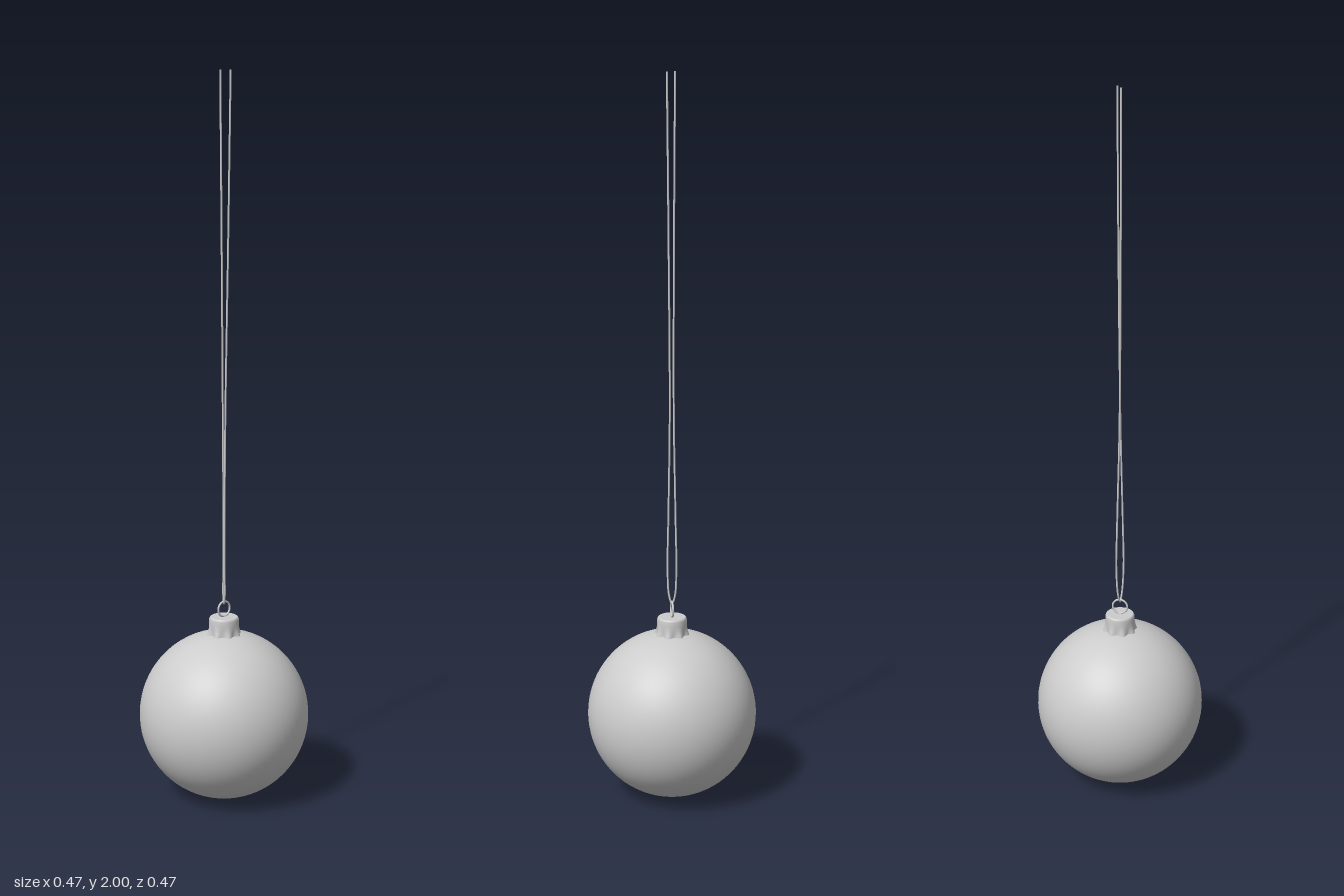
import * as THREE from 'three';

const V = (x, y, z) => new THREE.Vector3(x, y, z);

export function createModel() {
  const group = new THREE.Group();
  const material = new THREE.MeshStandardMaterial({ color: 0xcccccc });
  const thin = new THREE.MeshStandardMaterial({ color: 0xcccccc, side: THREE.DoubleSide });

  const add = (name, geometry, mat = material) => {
    const mesh = new THREE.Mesh(geometry, mat);
    mesh.name = name;
    group.add(mesh);
    return mesh;
  };

  // Glass ball
  const R = 0.236;
  add('ball', new THREE.SphereGeometry(R, 64, 48)).position.y = R;

  // Cap wall: flares into a skirt of eight scallops at the bottom
  const wall = new THREE.LatheGeometry([
    [0.046, 0.463], [0.0445, 0.47], [0.043, 0.478], [0.042, 0.488],
    [0.0415, 0.5], [0.041, 0.511], [0.0395, 0.515], [0.037, 0.517],
  ].map(([r, y]) => new THREE.Vector2(r, y)), 96);
  const p = wall.attributes.position;
  for (let i = 0; i < p.count; i++) {
    const x = p.getX(i), y = p.getY(i), z = p.getZ(i);
    const flare = Math.max(0, Math.min(1, (0.492 - y) / 0.025));
    const s = 1 - 0.09 * flare * Math.cos(8 * Math.atan2(z, x));
    p.setXYZ(i, x * s, y, z * s);
  }
  wall.computeVertexNormals();
  add('capWall', wall, thin);

  // Flat cap top
  const top = add('capTop', new THREE.CircleGeometry(0.037, 96));
  top.rotation.x = -Math.PI / 2;
  top.position.y = 0.517;

  // Hanging ring, standing in the side plane
  const ring = add('hangingRing', new THREE.TorusGeometry(0.021, 0.0028, 10, 40));
  ring.rotation.y = Math.PI / 2;
  ring.position.y = 0.539;

  // Cord: one loop threaded through the ring, both strands rising and twisting
  const cord = new THREE.CatmullRomCurve3([
    V(-0.009, 2, 0.005), V(-0.006, 1.55, 0.003), V(-0.005, 1.1, 0),
    V(-0.009, 0.8, -0.006), V(-0.011, 0.66, -0.008), V(-0.008, 0.58, -0.004),
    V(0, 0.554, 0),
    V(0.008, 0.58, 0.004), V(0.011, 0.66, 0.008), V(0.009, 0.8, 0.006),
    V(0.006, 1.1, 0), V(0.01, 1.55, -0.006), V(0.015, 2, -0.01),
  ]);
  add('cord', new THREE.TubeGeometry(cord, 400, 0.0027, 8), thin);

  return group;
}
